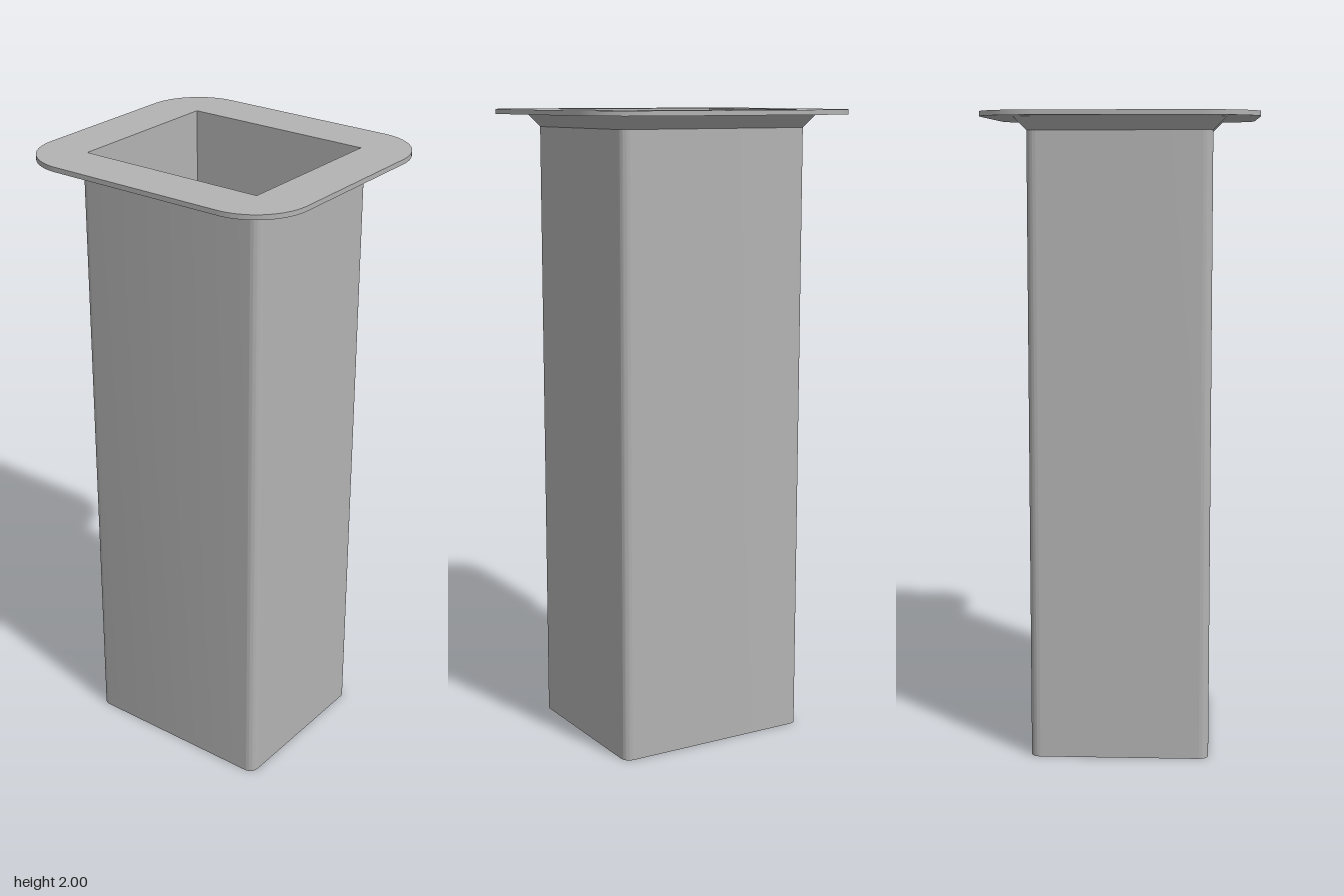
import * as THREE from 'three';
import { toCreasedNormals } from 'three/addons/utils/BufferGeometryUtils.js';

const HX = 0.326, HZ = 0.279, CORNER = 0.03; // tube outer half sizes
const IX = 0.309, IZ = 0.262;                // tube inner half sizes
const FLOOR = 0.02, FLARE_Y = 1.945, FLANGE_Y = 1.985, TOP = 2;

// Rounded rectangle outline, counter-clockwise
function roundedRect(hx, hy, r, path = new THREE.Shape()) {
  path.moveTo(-hx + r, -hy);
  path.lineTo(hx - r, -hy);
  path.absarc(hx - r, -hy + r, r, -Math.PI / 2, 0);
  path.lineTo(hx, hy - r);
  path.absarc(hx - r, hy - r, r, 0, Math.PI / 2);
  path.lineTo(-hx + r, hy);
  path.absarc(-hx + r, hy - r, r, Math.PI / 2, Math.PI);
  path.lineTo(-hx, -hy + r);
  path.absarc(-hx + r, -hy + r, r, Math.PI, Math.PI * 1.5);
  return path;
}

function rectHole(hx, hy) {
  return new THREE.Path([[-hx, -hy], [-hx, hy], [hx, hy], [hx, -hy], [-hx, -hy]]
    .map(([x, y]) => new THREE.Vector2(x, y)));
}

// Horizontal slab between two heights
function slab(shape, y0, y1) {
  const g = new THREE.ExtrudeGeometry(shape, { depth: y1 - y0, bevelEnabled: false, curveSegments: 14 });
  g.rotateX(-Math.PI / 2);
  g.translate(0, y0, 0);
  return toCreasedNormals(g, 0.5);
}

// Sloped band around the tube, widening upward by an equal offset on all sides
function flareBand(y0, y1, grow) {
  const steps = 10, pos = [], index = [];
  const signs = [[1, 1], [-1, 1], [-1, -1], [1, -1]];
  for (const [y, r] of [[y0, CORNER], [y1, CORNER + grow]]) {
    signs.forEach(([sx, sz], q) => {
      for (let i = 0; i <= steps; i++) {
        const a = (q + i / steps) * Math.PI / 2;
        pos.push(sx * (HX - CORNER) + r * Math.cos(a), y, sz * (HZ - CORNER) + r * Math.sin(a));
      }
    });
  }
  const n = 4 * (steps + 1);
  for (let i = 0; i < n; i++) {
    const j = (i + 1) % n;
    index.push(i, n + i, j, j, n + i, n + j);
  }
  const g = new THREE.BufferGeometry();
  g.setAttribute('position', new THREE.Float32BufferAttribute(pos, 3));
  g.setIndex(index);
  return toCreasedNormals(g, 0.5);
}

export function createModel() {
  const group = new THREE.Group();
  const grey = new THREE.MeshStandardMaterial({ color: 0xb3b3b3 });
  grey.name = 'plain grey';
  const add = (name, geometry) => {
    const mesh = new THREE.Mesh(geometry, grey);
    mesh.name = name;
    group.add(mesh);
  };

  // Floor with a central slot and four screw holes
  const floor = roundedRect(HX, HZ, CORNER);
  floor.holes.push(roundedRect(0.194, 0.099, 0.01, new THREE.Path()));
  for (const x of [-0.235, 0.235]) for (const z of [-0.042, 0.042]) {
    floor.holes.push(new THREE.Path().absarc(x, z, 0.0195, 0, Math.PI * 2, true));
  }
  add('floor', slab(floor, 0, FLOOR));

  // Hollow tube: rounded outside, square corners inside
  const walls = roundedRect(HX, HZ, CORNER);
  walls.holes.push(rectHole(IX, IZ));
  add('tubeWalls', slab(walls, FLOOR, FLANGE_Y));

  // Chamfer carrying the flange
  add('flare', flareBand(FLARE_Y, FLANGE_Y, FLANGE_Y - FLARE_Y));

  // Wide rim plate
  const flange = roundedRect(0.467, 0.42, 0.175);
  flange.holes.push(rectHole(IX, IZ));
  add('flange', slab(flange, FLANGE_Y, TOP));

  return group;
}
